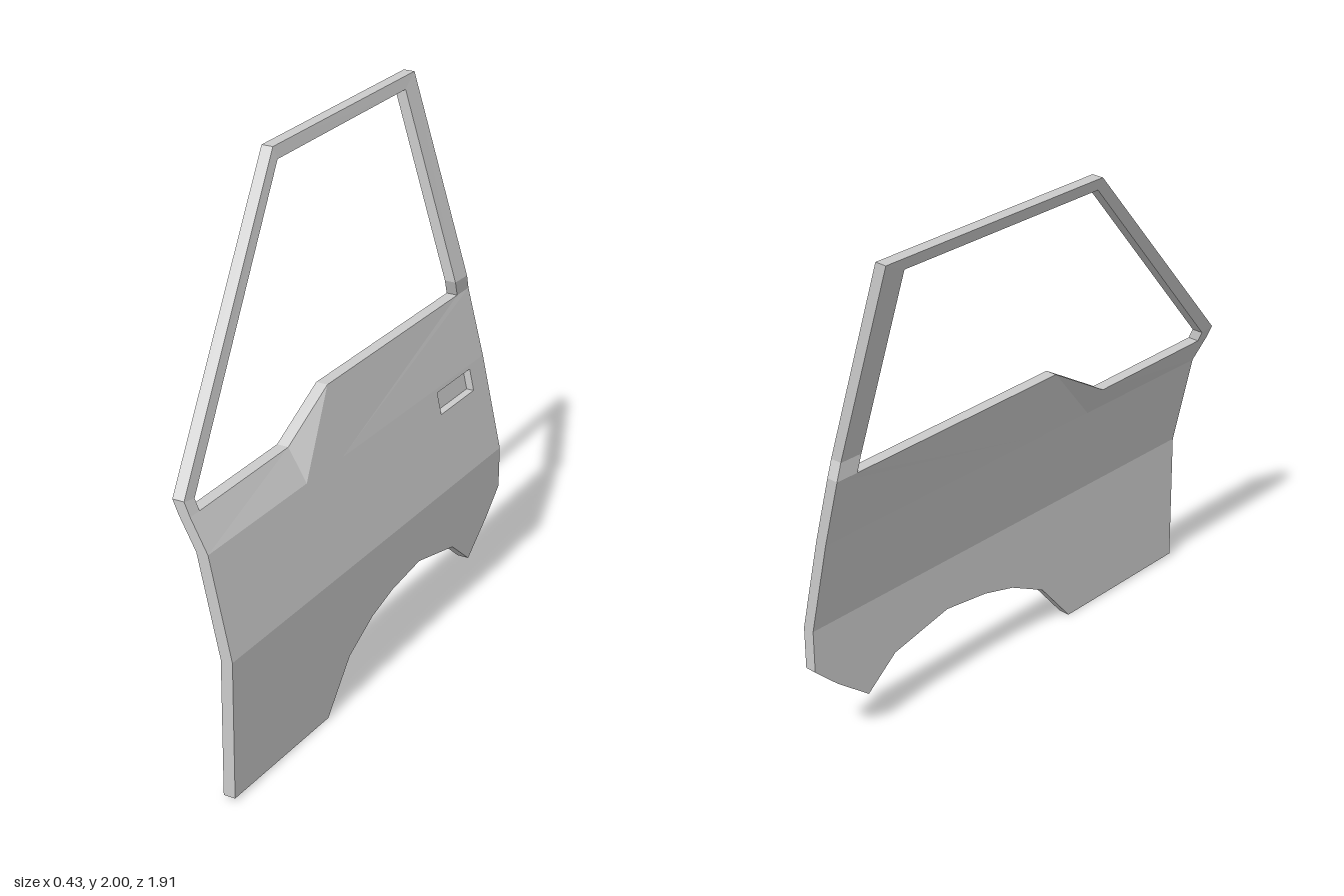
import * as THREE from 'three';

const THICK = 0.045, RECESS = 0.03;

// Outer skin of the flat panels: slightly wider to the rear, leaning in above the lower crease
const skin = (z, y) => 0.2025 - 0.013 * z - Math.max(0, y - 0.535) * 0.227;
const p = (z, y, x = skin(z, y)) => new THREE.Vector3(x, y, z);

// Creases
const m0 = p(0.96, 0.535), m1 = p(-0.955, 0.535);
const c0 = p(0.96, 0.91), c1 = p(0.35, 0.91), c2 = p(0.11, 0.91), c3 = p(-0.955, 0.91);
// Handle recess corners
const h0 = p(-0.58, 0.81), h1 = p(-0.84, 0.81), h2 = p(-0.84, 0.895), h3 = p(-0.58, 0.895);
// Belt line
const e0 = p(0.96, 1.03, 0.04), w0 = p(0.905, 1.03, 0.04), w1 = p(0.35, 1.03, 0.04);
const w2 = p(0.11, 1.175, 0.055), w3 = p(-0.865, 1.175, 0.058), r0 = p(-0.955, 1.175, 0.06);
// Window frame, outer and inner corners
const a0 = p(0.96, 1.08, 0.018), a1 = p(0.905, 1.07, 0.022);
const b0 = p(-0.84, 1.235, 0.062), b1 = p(-0.93, 1.235, 0.065);
const t0 = p(0.08, 1.99, -0.175), t1 = p(-0.93, 2, -0.175);
const s0 = p(0.07, 1.945, -0.163), s1 = p(-0.84, 1.955, -0.163);
// Sill and wheel arch
const arch = [[0.96, 0.01], [0.35, 0], [0.2, 0.18], [0.035, 0.265], [-0.11, 0.305], [-0.31, 0.33],
  [-0.575, 0.27], [-0.71, 0.16], [-0.855, 0.275], [-0.955, 0.37]].map(([z, y]) => p(z, y));

// Each part is a list of polygons, counter-clockwise as seen from outside
const parts = {
  lowerPanel: [[...arch, m1, m0]],
  middlePanel: [[m0, m1, h1, h0], [m1, c3, h2, h1], [c3, c2, h3, h2], [m0, h0, h3, c2, c1, c0]],
  handleRecess: [[h0, h1, h2, h3]],
  beltPanel: [[c0, c1, w1, w0, e0], [c1, c2, w2], [c1, w2, w1], [c2, c3, r0, w3, w2]],
  frontPillarFoot: [[e0, w0, a1, a0]],
  frontPillar: [[a1, s0, t0, a0]],
  topRail: [[s1, t1, t0, s0]],
  rearPillar: [[b0, b1, t1, s1]],
  rearPillarFoot: [[w3, r0, b1, b0]],
};

const edgesOf = (poly) => poly.map((a, i) => [a, poly[(i + 1) % poly.length]]);
const inset = (v, d) => new THREE.Vector3(v.x - d, v.y, v.z);

export function createModel() {
  const group = new THREE.Group();
  group.name = 'vehicleDoor';
  const material = new THREE.MeshStandardMaterial({ color: 0xcccccc, flatShading: true });

  // Edges used by one polygon only form the rim of the door
  const ids = new Map();
  const id = (v) => { if (!ids.has(v)) ids.set(v, ids.size); return ids.get(v); };
  const used = new Set();
  for (const polys of Object.values(parts))
    for (const poly of polys) for (const [a, b] of edgesOf(poly)) used.add(id(a) + '_' + id(b));

  for (const [name, polys] of Object.entries(parts)) {
    const pos = [];
    const tri = (...vs) => vs.forEach((v) => pos.push(v.x, v.y, v.z));
    const quad = (a, b, c, d) => { tri(a, b, c); tri(a, c, d); };
    const depth = name === 'handleRecess' ? RECESS : 0;

    for (const poly of polys) {
      // Outer and inner skins
      const flat = poly.map((v) => new THREE.Vector2(-v.z, v.y));
      for (const [i, j, k] of THREE.ShapeUtils.triangulateShape(flat, [])) {
        const ccw = THREE.ShapeUtils.area([flat[i], flat[j], flat[k]]) > 0;
        const [a, b, c] = (ccw ? [i, j, k] : [i, k, j]).map((n) => poly[n]);
        tri(inset(a, depth), inset(b, depth), inset(c, depth));
        tri(inset(a, THICK), inset(c, THICK), inset(b, THICK));
      }
      for (const [a, b] of edgesOf(poly)) {
        // Rim of the door and window opening
        if (!used.has(id(b) + '_' + id(a))) quad(a, inset(a, THICK), inset(b, THICK), b);
        // Side walls of the recess
        if (depth) quad(a, b, inset(b, depth), inset(a, depth));
      }
    }
    const geometry = new THREE.BufferGeometry();
    geometry.setAttribute('position', new THREE.Float32BufferAttribute(pos, 3));
    geometry.computeVertexNormals();
    const mesh = new THREE.Mesh(geometry, material);
    mesh.name = name;
    group.add(mesh);
  }
  return group;
}
